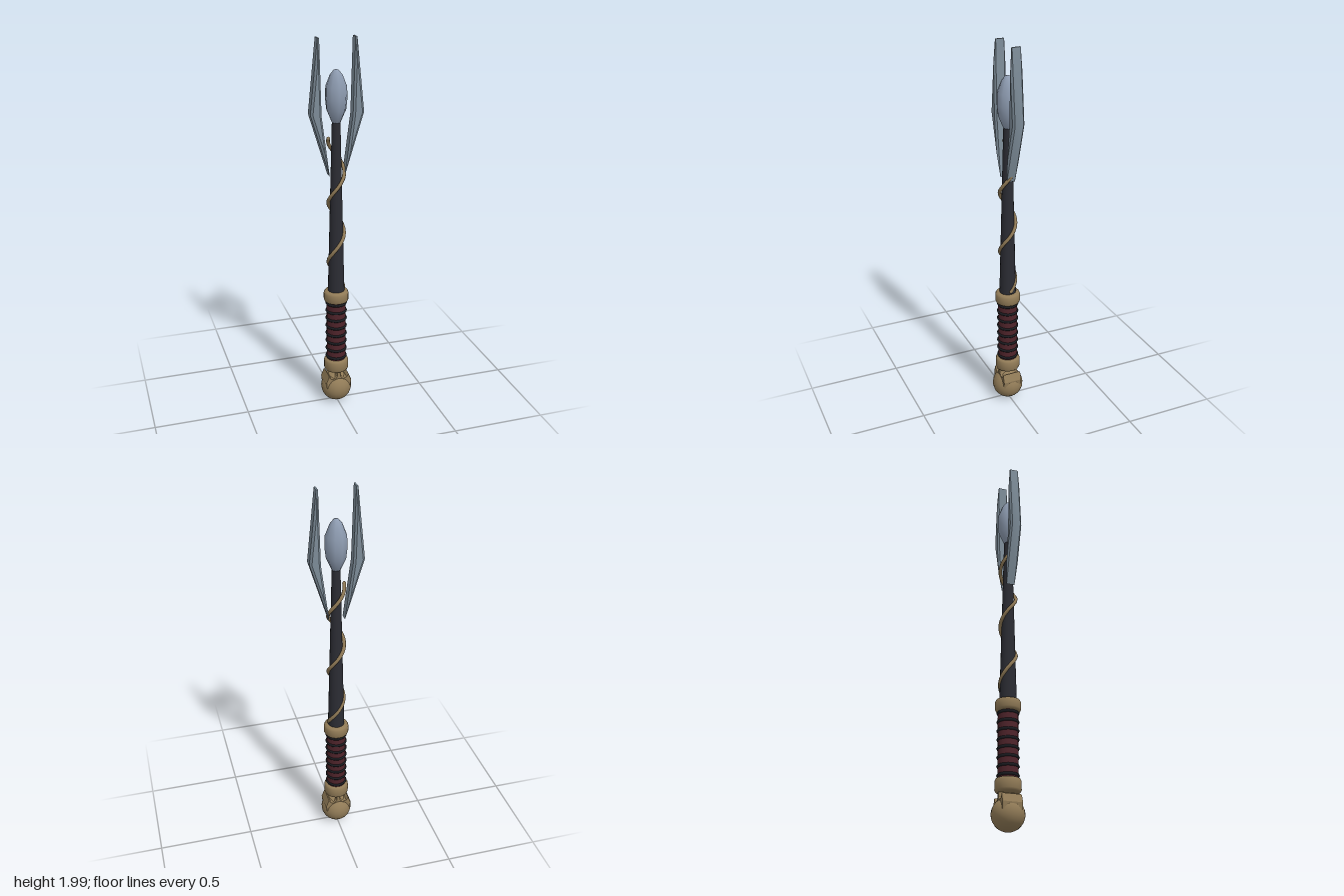
import * as THREE from 'three';
import { toCreasedNormals } from 'three/addons/utils/BufferGeometryUtils.js';

const mat = (color, extra = {}) => new THREE.MeshStandardMaterial({ color, ...extra });
const V2 = (pts) => pts.map(([x, y]) => new THREE.Vector2(x, y));

// Prism skinned through equal-sized counter-clockwise outlines, stacked from back to front
function loft(layers) {
  const n = layers[0].pts.length, pos = [], idx = [];
  for (const { pts, z } of layers) for (const [x, y] of pts) pos.push(x, y, z);
  for (let l = 0; l < layers.length - 1; l++)
    for (let i = 0; i < n; i++) {
      const a = l * n + i, b = l * n + (i + 1) % n;
      idx.push(a, b, b + n, a, b + n, a + n);
    }
  const last = (layers.length - 1) * n;
  for (const [a, b, c] of THREE.ShapeUtils.triangulateShape(V2(layers[0].pts), [])) {
    idx.push(a, c, b, last + a, last + b, last + c);
  }
  const g = new THREE.BufferGeometry();
  g.setAttribute('position', new THREE.Float32BufferAttribute(pos, 3));
  g.setIndex(idx);
  return toCreasedNormals(g, 0.4);
}

export function createModel() {
  const group = new THREE.Group();
  const brass = mat(0x917b57), dark = mat(0x2b2c33), black = mat(0x1b1c21);
  const red = mat(0x50242b), steel = mat(0x7d8c98), crystal = mat(0x8d9bb0);
  const add = (name, geo, material, y = 0) => {
    const m = new THREE.Mesh(geo, material);
    m.name = name;
    m.position.y = y;
    group.add(m);
    return m;
  };

  // Pommel ball with a pronged claw on top
  add('pommel', new THREE.SphereGeometry(0.083, 20, 14), brass, 0.089);
  const claw = new THREE.ExtrudeGeometry(new THREE.Shape(V2([
    [-0.066, 0.1], [0.066, 0.1], [0.07, 0.135], [0.055, 0.174], [0.046, 0.158], [0.022, 0.15],
    [0.009, 0.168], [0.007, 0.196], [-0.007, 0.196], [-0.009, 0.168], [-0.022, 0.15],
    [-0.046, 0.158], [-0.055, 0.174], [-0.07, 0.135],
  ])), { depth: 0.09, bevelEnabled: true, bevelSize: 0.003, bevelThickness: 0.006, bevelSegments: 1 });
  claw.translate(0, 0, -0.045);
  add('pommelClaw', claw, brass);

  // Rounded collars at both ends of the grip
  for (const [name, y0, y1] of [['lowerCollar', 0.193, 0.265], ['upperCollar', 0.605, 0.669]]) {
    const collar = new THREE.LatheGeometry(V2([
      [0, y0], [0.05, y0], [0.061, y0 + 0.004], [0.066, y0 + 0.014],
      [0.066, y1 - 0.014], [0.061, y1 - 0.004], [0.05, y1], [0, y1],
    ]), 20);
    add(name, toCreasedNormals(collar, 0.9), brass);
  }

  // Grip with wrapped bands
  add('grip', new THREE.CylinderGeometry(0.051, 0.051, 0.35, 20), red, 0.435);
  for (let i = 0; i < 8; i++) {
    const ring = new THREE.TorusGeometry(0.05, 0.008, 6, 20);
    ring.rotateX(Math.PI / 2);
    add('gripBand', ring, black, 0.278 + i * 0.0455);
  }

  // Tapered shaft
  add('shaft', new THREE.CylinderGeometry(0.021, 0.044, 0.94, 16), dark, 1.13);

  // Vine winding two and a half turns around the shaft
  const vine = [];
  for (let i = 0; i <= 40; i++) {
    const a = Math.PI * (1 + i / 8);
    vine.push(new THREE.Vector3(-0.041 * Math.cos(a), 0.685 + 0.0204 * i, 0.041 * Math.sin(a)));
  }
  add('vine', new THREE.TubeGeometry(new THREE.CatmullRomCurve3(vine), 120, 0.0095, 7), brass);
  for (const p of [vine[0], vine[40]]) {
    const tip = add('vineTip', new THREE.SphereGeometry(0.0095, 8, 6), brass);
    tip.position.copy(p);
  }

  // Faceted head crystal
  add('crystal', new THREE.LatheGeometry(V2([
    [0, 1.572], [0.022, 1.58], [0.05, 1.645], [0.056, 1.7],
    [0.054, 1.76], [0.032, 1.816], [0.013, 1.84], [0, 1.845],
  ]), 9), crystal);

  // Two bevelled blades flanking the crystal
  const rim = [[0.04, 1.31], [0.138, 1.63], [0.1, 2], [0.091, 2], [0.081, 1.62]];
  const face = [[0.066, 1.43], [0.127, 1.63], [0.101, 1.88], [0.098, 1.88], [0.091, 1.62]];
  for (const side of [1, -1]) {
    const flip = (pts) => side > 0 ? pts : pts.map(([x, y]) => [-x, y]).reverse();
    const blade = loft([
      { pts: flip(face), z: -0.031 }, { pts: flip(rim), z: -0.022 },
      { pts: flip(rim), z: 0.022 }, { pts: flip(face), z: 0.031 },
    ]);
    add(side > 0 ? 'leftBlade' : 'rightBlade', blade, steel);
  }
  return group;
}
